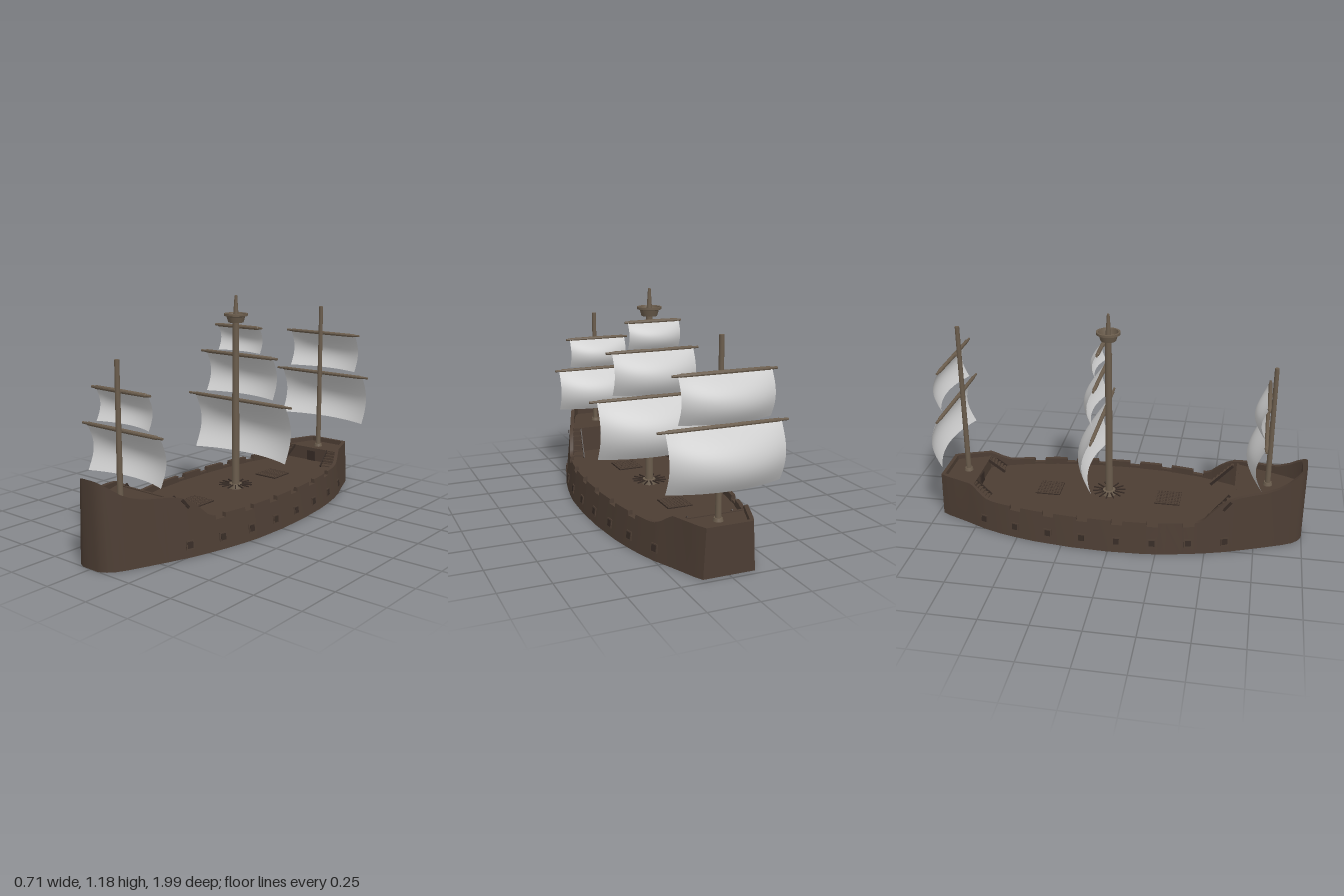
import * as THREE from 'three';
import { toCreasedNormals } from 'three/addons/utils/BufferGeometryUtils.js';

const mat = (color, side = THREE.FrontSide) => new THREE.MeshStandardMaterial({ color, side });
const hullMat = mat(0x4c3d33), darkMat = mat(0x362b25), spar = mat(0x6a5c4c);
const cloth = mat(0xcccccc, THREE.DoubleSide);

function add(parent, name, geo, material, x = 0, y = 0, z = 0) {
  const m = new THREE.Mesh(geo, material);
  m.name = name;
  m.position.set(x, y, z);
  parent.add(m);
  return m;
}

// Linear lookup in a table of [z, value]
function lookup(table, z) {
  const i = Math.max(1, table.findIndex(p => p[0] >= z));
  const [a, b] = [table[i - 1], table[i]];
  return a[1] + (b[1] - a[1]) * (z - a[0]) / (b[0] - a[0]);
}
const WIDTH = [[-0.97, 0.13], [-0.93, 0.152], [-0.88, 0.172], [-0.8, 0.205], [-0.7, 0.25], [-0.6, 0.283], [-0.5, 0.307],
  [-0.4, 0.326], [-0.2, 0.348], [0, 0.355], [0.2, 0.346], [0.3, 0.331], [0.4, 0.312], [0.5, 0.288], [0.6, 0.259],
  [0.7, 0.222], [0.8, 0.183], [0.9, 0.142], [0.95, 0.116], [0.98, 0.088], [0.993, 0.066], [1, 0.045]];
const RAIL = [[-0.97, 0.24], [-0.78, 0.24], [-0.75, 0.222], [-0.72, 0.2], [-0.68, 0.18], [-0.64, 0.175], [0.46, 0.175],
  [0.49, 0.19], [0.53, 0.23], [0.57, 0.264], [0.61, 0.286], [0.66, 0.3], [0.72, 0.308], [0.8, 0.315],
  [0.86, 0.33], [0.91, 0.355], [0.95, 0.385], [1, 0.425]];
const STERN_WALL = -0.78, BOW_WALL = 0.64, MAIN = 0.14, STERN = 0.215, BOW = 0.28;
const ports = Array.from({ length: 8 }, (_, i) => 0.6 - 0.185 * i);
const notches = ports.slice(1, 7);
const halfWidth = (z, y) => lookup(WIDTH, z) * (1 - 0.4 * y);
const railTop = z => notches.some(n => Math.abs(z - n) < 0.03) ? 0.153 : lookup(RAIL, z);
function deckY(z) {
  if (z < -0.95 || z > 0.975) return railTop(z);
  return z < STERN_WALL ? STERN : z > BOW_WALL ? BOW : MAIN;
}

// Hull: closed cross-sections joined along z, with double sections at each step
function hullGeometry() {
  const steps = [-0.95, STERN_WALL, BOW_WALL, 0.975, ...notches.flatMap(n => [n - 0.03, n + 0.03])];
  const zs = [...new Set([...WIDTH, ...RAIL].map(p => p[0])), ...steps.flatMap(s => [s - 0.0005, s + 0.0005])]
    .sort((a, b) => a - b);
  const section = (z, k = 1) => {
    const t = railTop(z), d = deckY(z), w = halfWidth(z, 0) * k, o = halfWidth(z, t) * k;
    const i = Math.max(0, o - 0.022);
    return [[-w, 0], [-o, t], [-i, t], [-i, d], [i, d], [i, t], [o, t], [w, 0]].map(p => [...p, z]);
  };
  const rows = [section(-0.97, 0), ...zs.map(z => section(z)), section(1, 0)];
  const pos = [];
  for (let k = 0; k < rows.length - 1; k++) {
    for (let i = 0; i < 8; i++) {
      const j = (i + 1) % 8, a = rows[k][i], b = rows[k + 1][i], c = rows[k][j], d = rows[k + 1][j];
      pos.push(...a, ...b, ...c, ...b, ...d, ...c);
    }
  }
  const g = new THREE.BufferGeometry();
  g.setAttribute('position', new THREE.Float32BufferAttribute(pos, 3));
  return toCreasedNormals(g, 0.5);
}

// Stairs climbing towards +z from the group's origin
function stairs(parent, x, y, z, rise, run, turn) {
  const g = new THREE.Group();
  g.name = 'stairs';
  const n = 6, slope = Math.atan2(rise, run);
  for (let i = 0; i < n; i++) {
    add(g, 'step', new THREE.BoxGeometry(0.065, 0.006, run / n * 0.8), hullMat, 0, rise * (i + 0.7) / n, run * (i + 0.5) / n);
  }
  for (const s of [-1, 1]) {
    const side = add(g, 'stringer', new THREE.BoxGeometry(0.006, 0.014, Math.hypot(rise, run)), darkMat, s * 0.035, rise / 2 + 0.004, run / 2);
    side.rotation.x = -slope;
  }
  g.position.set(x, y, z);
  g.rotation.y = turn;
  parent.add(g);
}

// Sail hanging from y = 0, bellied towards -z
function sailGeometry(half, h) {
  const g = new THREE.PlaneGeometry(2 * half, h, 20, 16);
  const p = g.attributes.position;
  for (let i = 0; i < p.count; i++) {
    const u = p.getX(i) / half, t = 0.5 - p.getY(i) / h;
    const belly = 0.165 * Math.sin(Math.PI * t) + 0.25 * (1 - u * u) * Math.sin(0.65 * Math.PI * t);
    p.setY(i, -t * h);
    p.setZ(i, -h * belly);
  }
  g.computeVertexNormals();
  return g;
}

// Mast with its yards and sails: [yard y, yard half length, sail half width, sail bottom y]
function rig(parent, name, z, base, top, r, back, list) {
  const g = new THREE.Group();
  g.name = name;
  add(g, 'mast', new THREE.CylinderGeometry(r * 0.8, r, top - base, 16), spar, 0, (top + base) / 2, z);
  add(g, 'mastCollar', new THREE.CylinderGeometry(r * 1.4, r * 1.7, 0.016, 16), spar, 0, base + 0.008, z);
  for (const [y, half, w, bottom] of list) {
    const yard = new THREE.LatheGeometry([[0, -half], [0.006, -half], [0.007, -half * 0.87], [0.0095, -half * 0.85],
      [0.0105, 0], [0.0095, half * 0.85], [0.007, half * 0.87], [0.006, half], [0, half]].map(p => new THREE.Vector2(...p)), 10);
    add(g, 'yard', toCreasedNormals(yard, 0.6), spar, -0.008, y, z - back).rotation.z = Math.PI / 2;
    add(g, 'yardTie', new THREE.BoxGeometry(0.014, 0.012, back), spar, 0, y, z - back / 2);
    add(g, 'sail', sailGeometry(w, y - 0.004 - bottom), cloth, -0.008, y - 0.004, z - back - 0.006);
  }
  parent.add(g);
  return g;
}

export function createModel() {
  const ship = new THREE.Group();
  ship.name = 'sailingShip';
  add(ship, 'hull', hullGeometry(), hullMat);

  // Gun ports along both sides: frame and darker lid
  for (const z of ports) {
    const slope = (halfWidth(z + 0.02, 0.06) - halfWidth(z - 0.02, 0.06)) / 0.04;
    for (const s of [-1, 1]) {
      const port = new THREE.Group();
      port.name = 'gunPort';
      add(port, 'portFrame', new THREE.BoxGeometry(0.01, 0.044, 0.042), hullMat);
      add(port, 'portLid', new THREE.BoxGeometry(0.013, 0.032, 0.03), darkMat);
      port.position.set(s * halfWidth(z, 0.062), 0.062, z);
      port.rotation.set(0, s * Math.atan(slope), s * 0.13);
      ship.add(port);
    }
  }

  // Cabin fronts: door and a beam along the deck edge
  for (const [z, deck, dir] of [[STERN_WALL, STERN, 1], [BOW_WALL, BOW, -1]]) {
    const h = (deck - MAIN) * 0.78, w = halfWidth(z, deck) - 0.02;
    add(ship, 'cabinDoor', new THREE.BoxGeometry(0.055, h, 0.008), darkMat, 0, MAIN + h / 2, z + dir * 0.002);
    add(ship, 'deckEdge', new THREE.BoxGeometry(2 * w, 0.01, 0.012), hullMat, 0, deck, z + dir * 0.002);
  }
  for (const s of [-1, 1]) {
    stairs(ship, s * 0.215, MAIN, 0.5, BOW - MAIN, 0.12, -s * 0.18);
    stairs(ship, s * 0.163, MAIN, -0.69, STERN - MAIN, 0.09, Math.PI + s * 0.15);
  }

  // Grated hatches
  for (const z of [-0.385, 0.275]) {
    const hatch = new THREE.Group();
    hatch.name = 'hatch';
    add(hatch, 'hatchBase', new THREE.BoxGeometry(0.136, 0.006, 0.136), darkMat, 0, 0.002, 0);
    for (let i = 0; i < 9; i++) {
      const o = -0.064 + i * 0.016;
      add(hatch, 'slat', new THREE.BoxGeometry(0.006, 0.006, 0.136), hullMat, o, 0.006, 0);
      add(hatch, 'slat', new THREE.BoxGeometry(0.136, 0.006, 0.006), hullMat, 0, 0.006, o);
    }
    hatch.position.set(0, MAIN, z);
    ship.add(hatch);
  }

  rig(ship, 'foreMast', 0.802, BOW, 0.945, 0.0145, 0.024, [[0.795, 0.193, 0.173, 0.63], [0.61, 0.265, 0.243, 0.375]]);
  rig(ship, 'aftMast', -0.852, STERN, 1.065, 0.0145, 0.028, [[0.905, 0.255, 0.228, 0.69], [0.664, 0.322, 0.286, 0.385]]);
  const main = rig(ship, 'mainMast', -0.052, MAIN, 1.05, 0.021, 0.03,
    [[1.015, 0.155, 0.14, 0.88], [0.865, 0.257, 0.226, 0.645], [0.62, 0.35, 0.31, 0.315]]);

  // Crow's nest and topmast
  const nest = [[0, 1.04], [0.04, 1.04], [0.049, 1.07], [0.063, 1.075], [0.063, 1.087], [0.052, 1.087], [0.044, 1.06], [0, 1.06]];
  add(main, 'crowsNest', toCreasedNormals(new THREE.LatheGeometry(nest.map(p => new THREE.Vector2(...p)), 20), 0.5), spar, 0, 0, -0.052);
  add(main, 'topMast', new THREE.CylinderGeometry(0.007, 0.016, 0.13, 14), spar, 0, 1.115, -0.052);

  // Capstan with radial bars round the main mast
  add(main, 'capstan', new THREE.CylinderGeometry(0.034, 0.04, 0.026, 16), spar, 0, MAIN + 0.013, -0.052);
  for (let i = 0; i < 14; i++) {
    const a = i / 14 * Math.PI * 2;
    const bar = add(main, 'capstanBar', new THREE.BoxGeometry(0.06, 0.006, 0.006), darkMat,
      Math.cos(a) * 0.06, MAIN + 0.022, -0.052 - Math.sin(a) * 0.06);
    bar.rotation.y = a;
  }
  return ship;
}
